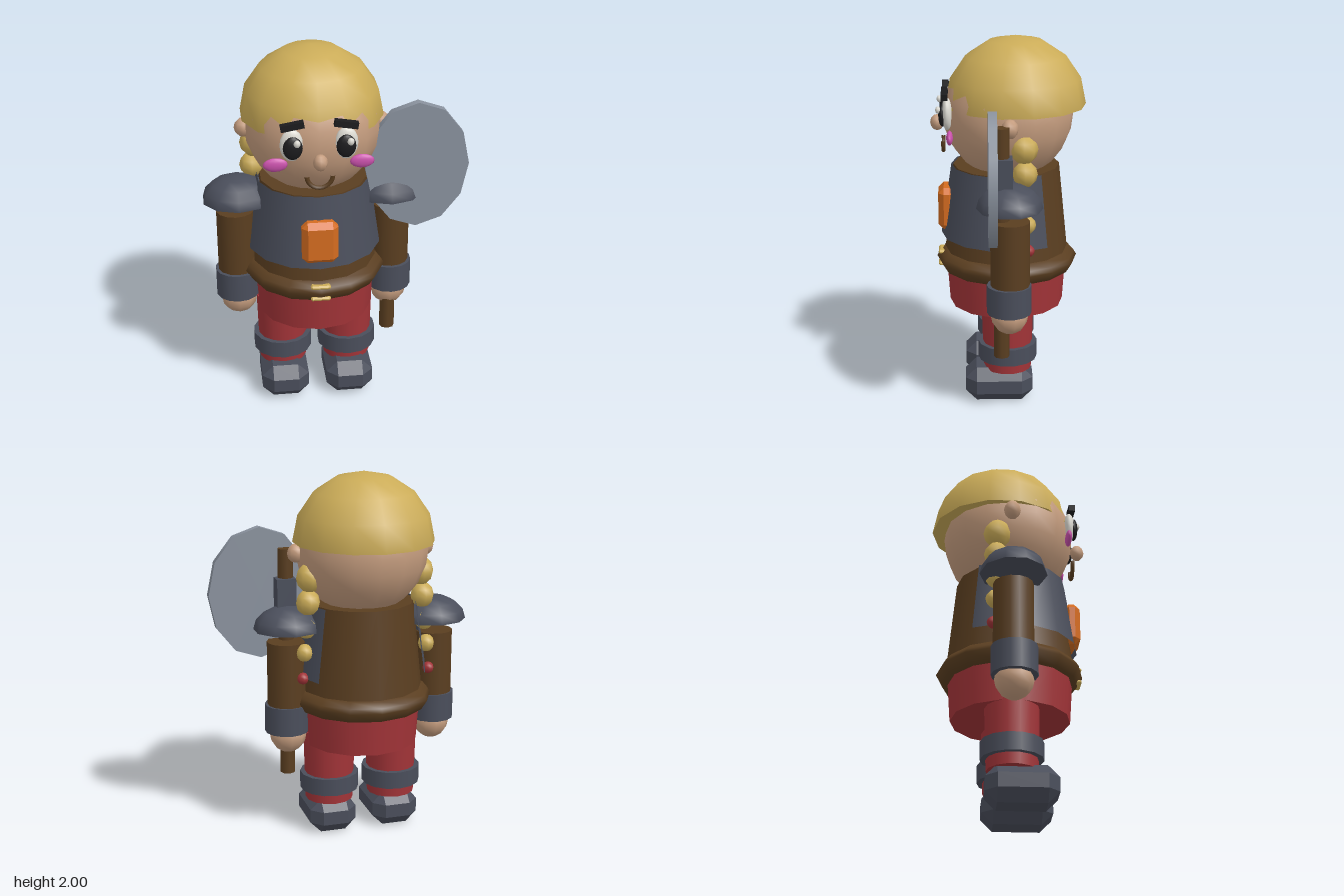
import * as THREE from 'three';
import { ConvexGeometry } from 'three/addons/geometries/ConvexGeometry.js';

const mat = (name, color, extra = {}) => {
  const m = new THREE.MeshStandardMaterial({ color, ...extra });
  m.name = name;
  return m;
};

export function createModel() {
  const root = new THREE.Group();
  root.name = 'warrior';
  const DS = { side: THREE.DoubleSide };
  const hair = mat('blond', 0xcbac58, DS), skin = mat('skin', 0xc49c7e), iron = mat('iron', 0x4a4e5b, DS);
  const leather = mat('leather', 0x5a3e20), cloth = mat('red cloth', 0xa23438), steel = mat('steel', 0x8a929e);
  const black = mat('black', 0x1c1c1e), white = mat('white', 0xdcdad2);
  const pink = mat('pink', 0xcc52ae), orange = mat('orange', 0xd46c20);

  // the body is symmetric about x = 0 of this group; the axe sits at one side
  const body = new THREE.Group();
  body.name = 'figure';
  body.position.x = -0.115;
  root.add(body);

  const add = (name, geo, material, x, y, z, parent = body) => {
    const m = new THREE.Mesh(geo, material);
    m.name = name;
    m.position.set(x, y, z);
    parent.add(m);
    return m;
  };
  const cyl = (top, bottom, h, n = 14) => new THREE.CylinderGeometry(top, bottom, h, n);
  // ball with a vertex column facing forward
  const ball = (rx, ry, rz, n = 12, rows = 8) =>
    new THREE.SphereGeometry(1, n, rows).rotateY(Math.PI / 2).scale(rx, ry, rz);
  const dome = (rx, ry, rz, n, rows) =>
    new THREE.SphereGeometry(1, n, rows, 0, Math.PI * 2, 0, Math.PI / 2).rotateY(Math.PI / 2).scale(rx, ry, rz);
  // box with every edge cut off
  const chamferBox = (w, h, d, b) => {
    const pts = [];
    for (const sx of [-1, 1]) for (const sy of [-1, 1]) for (const sz of [-1, 1])
      for (const [i, j, k] of [[0, 1, 1], [1, 0, 1], [1, 1, 0]])
        pts.push(new THREE.Vector3(sx * (w / 2 - b * i), sy * (h / 2 - b * j), sz * (d / 2 - b * k)));
    return new ConvexGeometry(pts);
  };

  // torso, open-backed breastplate, belt and tunic skirt
  add('torso', cyl(0.288, 0.347, 0.58), leather, 0, 1.01, 0.01);
  const past = 0.61, span = Math.PI + past * 2;
  add('breastplate', new THREE.CylinderGeometry(0.304, 0.362, 0.39, 10, 1, true, -span / 2, span),
    iron, 0, 1.105, 0.005);
  const beltProfile = [[0.3, 0.715], [0.355, 0.717], [0.387, 0.77], [0.372, 0.795], [0.345, 0.825], [0.3, 0.83]];
  add('belt', new THREE.LatheGeometry(beltProfile.map(p => new THREE.Vector2(...p)), 14), leather, 0, 0, 0.007);
  for (const y of [0.735, 0.803]) add('buckleBar', chamferBox(0.105, 0.022, 0.05, 0.008), hair, 0, y, 0.36);
  add('chestGem', chamferBox(0.19, 0.235, 0.09, 0.03), orange, 0, 1.06, 0.337);
  add('tunicSkirt', cyl(0.328, 0.314, 0.21), cloth, 0, 0.618, 0.01);

  // head and hair cap
  add('head', ball(0.358, 0.352, 0.352, 16, 12), skin, 0, 1.582, 0);
  add('hairCap', dome(0.379, 0.37, 0.379, 14, 4), hair, 0, 1.63, -0.04);
  add('hairUnderside', new THREE.CircleGeometry(0.379, 14).rotateZ(Math.PI / 2).rotateX(Math.PI / 2),
    hair, 0, 1.63, -0.04);

  // nose and smile
  add('nose', ball(0.038, 0.044, 0.038, 8, 6), skin, 0, 1.53, 0.382);
  add('mouth', new THREE.TorusGeometry(0.066, 0.012, 6, 12, Math.PI).rotateZ(Math.PI), leather, 0, 1.442, 0.35);

  for (const s of [-1, 1]) {
    // face details
    add('ear', ball(0.05, 0.052, 0.045, 8, 6), skin, s * 0.36, 1.577, 0);
    add('eyeWhite', ball(0.06, 0.087, 0.03), white, s * 0.138, 1.607, 0.325);
    add('pupil', ball(0.05, 0.062, 0.022), black, s * 0.134, 1.6, 0.35);
    add('eyeGlint', ball(0.018, 0.02, 0.015, 8, 6), white, s * 0.134 + 0.02, 1.632, 0.372);
    const brow = add('eyebrow', new THREE.BoxGeometry(0.12, 0.033, 0.035), black, s * 0.135, 1.715, 0.338);
    brow.rotation.z = -s * 0.17;
    add('cheek', ball(0.063, 0.037, 0.018), pink, s * 0.22, 1.497, 0.312);

    // braid of shrinking knots with a tie at the end
    [[1.457, 0.075], [1.325, 0.066], [1.19, 0.056], [1.055, 0.046]].forEach(([y, r], i) =>
      add('braidKnot', ball(r, r * 1.05, r, 8, 6), hair, s * (0.307 + i * 0.012), y, -0.075 - i * 0.006));
    add('braidTie', ball(0.032, 0.032, 0.032, 8, 6), cloth, s * 0.355, 0.915, -0.1);

    // arm
    add('sleeve', cyl(0.104, 0.104, 0.45), leather, s * 0.42, 0.877, 0);
    add('wristCuff', cyl(0.119, 0.119, 0.155), iron, s * 0.42, 0.673, 0.005);
    add('hand', ball(0.1, 0.1, 0.1, 10, 8), skin, s * 0.415, 0.573, 0.003);
    add('shoulderPad', dome(0.19, 0.132, 0.175, 10, 4), iron, s * 0.405, 1.167, 0.002);
    add('shoulderPadBase', new THREE.CircleGeometry(1, 10).rotateZ(Math.PI / 2).rotateX(Math.PI / 2)
      .scale(0.19, 1, 0.175), iron, s * 0.405, 1.167, 0.002);

    // leg
    add('trouserLeg', cyl(0.143, 0.132, 0.4), cloth, s * 0.18, 0.38, 0.008);
    add('shinCuff', cyl(0.162, 0.162, 0.095), iron, s * 0.18, 0.287, 0.008);
    add('boot', chamferBox(0.26, 0.195, 0.37, 0.06), iron, s * 0.18, 0.0975, 0.055);
  }

  // axe
  const axe = new THREE.Group();
  axe.name = 'axe';
  root.add(axe);
  add('axeHandle', cyl(0.042, 0.042, 1.26, 8), leather, 0.293, 0.967, 0.045, axe);
  add('axeSocket', new THREE.BoxGeometry(0.105, 0.2, 0.1), iron, 0.3, 1.34, 0.038, axe);
  add('axeBlade', cyl(1, 1, 0.045, 12).rotateX(Math.PI / 2).scale(0.277, 0.356, 1), steel, 0.427, 1.357, 0.092, axe);

  return root;
}
